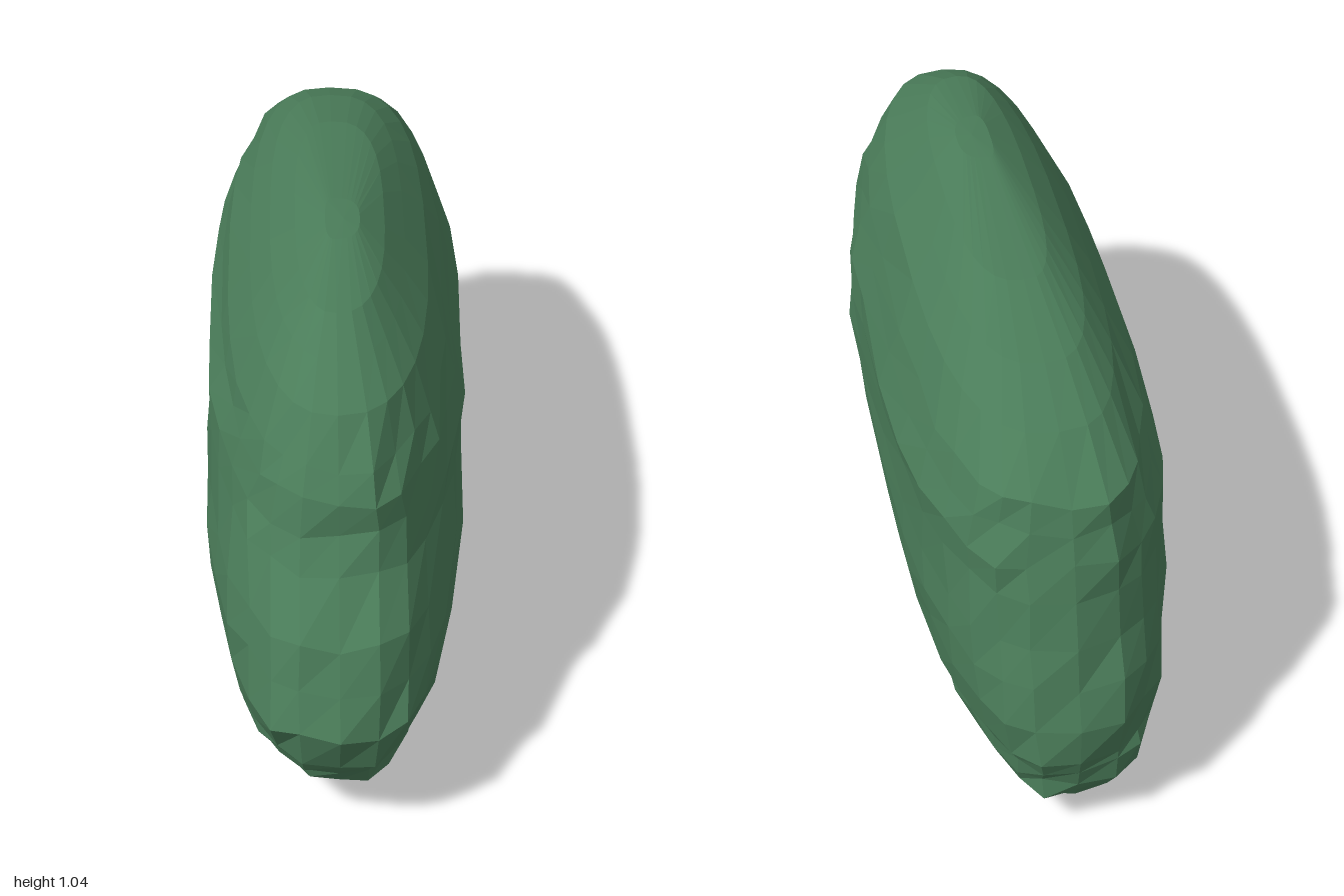
import * as THREE from 'three';

// Horizontal layers of the hedge: height, front z, back z, width to +x, width to -x
const LAYERS = [
  [0.005, 0.50, -0.40, 0.03, 0.04],
  [0.04, 0.73, -0.85, 0.09, 0.13],
  [0.075, 0.75, -0.95, 0.155, 0.175],
  [0.105, 0.88, -0.97, 0.215, 0.215],
  [0.145, 0.91, -0.98, 0.222, 0.258],
  [0.185, 0.94, -0.99, 0.23, 0.262],
  [0.21, 0.96, -1.0, 0.258, 0.267],
  [0.31, 1.0, -1.0, 0.28, 0.288],
  [0.40, 0.96, -0.97, 0.285, 0.292],
  [0.49, 0.92, -0.95, 0.287, 0.287],
  [0.60, 0.82, -0.92, 0.282, 0.283],
  [0.67, 0.77, -0.90, 0.29, 0.282],
  [0.74, 0.765, -0.88, 0.265, 0.25],
  [0.80, 0.73, -0.86, 0.245, 0.233],
  [0.89, 0.66, -0.73, 0.207, 0.185],
  [0.95, 0.55, -0.58, 0.155, 0.14],
  [1.0, 0.45, -0.36, 0.11, 0.085],
  [1.037, 0.22, 0.05, 0.055, 0.02],
];
const SIDES = 30;

function makeRandom(seed) {
  return () => {
    seed = (seed * 16807) % 2147483647;
    return seed / 2147483647 - 0.5;
  };
}

function hedgeGeometry() {
  const random = makeRandom(4711);
  const positions = [];
  const index = [];
  const power = (v, n) => Math.sign(v) * Math.abs(v) ** (2 / n);

  // Rounded oblong rings; small bumps between the clean base, nose and crown
  LAYERS.forEach(([y, front, back, right, left]) => {
    const rough = y > 0.08 && y < 0.85 ? 1 : 0;
    for (let i = 0; i < SIDES; i++) {
      const t = (i / SIDES) * Math.PI * 2;
      const s = Math.sin(t);
      const c = Math.cos(t);
      const n = c > 0 ? 2.5 : 2.8; // the back end is blunter
      const mid = (front + back) / 2;
      const amount = i % (SIDES / 2) === 0 ? 0 : rough;
      const x = power(s, n) * (s > 0 ? right : left) * (1 + amount * random() * 0.05);
      const z = mid + power(c, n) * (front - mid) + amount * random() * 0.03;
      positions.push(x, y + rough * random() * 0.022, THREE.MathUtils.clamp(z, -1, 1));
    }
  });

  for (let j = 0; j < LAYERS.length - 1; j++) {
    for (let i = 0; i < SIDES; i++) {
      const a = j * SIDES + i;
      const b = j * SIDES + ((i + 1) % SIDES);
      index.push(a, b, b + SIDES, a, b + SIDES, a + SIDES);
    }
  }

  // Close the underside and the crown
  const bottom = positions.length / 3;
  positions.push(0, 0, 0.05, 0.02, 1.04, 0.14);
  const last = (LAYERS.length - 1) * SIDES;
  for (let i = 0; i < SIDES; i++) {
    const n = (i + 1) % SIDES;
    index.push(bottom, n, i, bottom + 1, last + i, last + n);
  }

  const indexed = new THREE.BufferGeometry();
  indexed.setAttribute('position', new THREE.Float32BufferAttribute(positions, 3));
  indexed.setIndex(index);
  const geometry = indexed.toNonIndexed(); // separate corners give flat facets
  geometry.computeVertexNormals();
  return geometry;
}

export function createModel() {
  const group = new THREE.Group();
  group.name = 'hedge';
  const leafGreen = new THREE.MeshStandardMaterial({ color: 0x4a7c59 });
  leafGreen.name = 'leafGreen';
  const foliage = new THREE.Mesh(hedgeGeometry(), leafGreen);
  foliage.name = 'foliage';
  group.add(foliage);
  return group;
}
